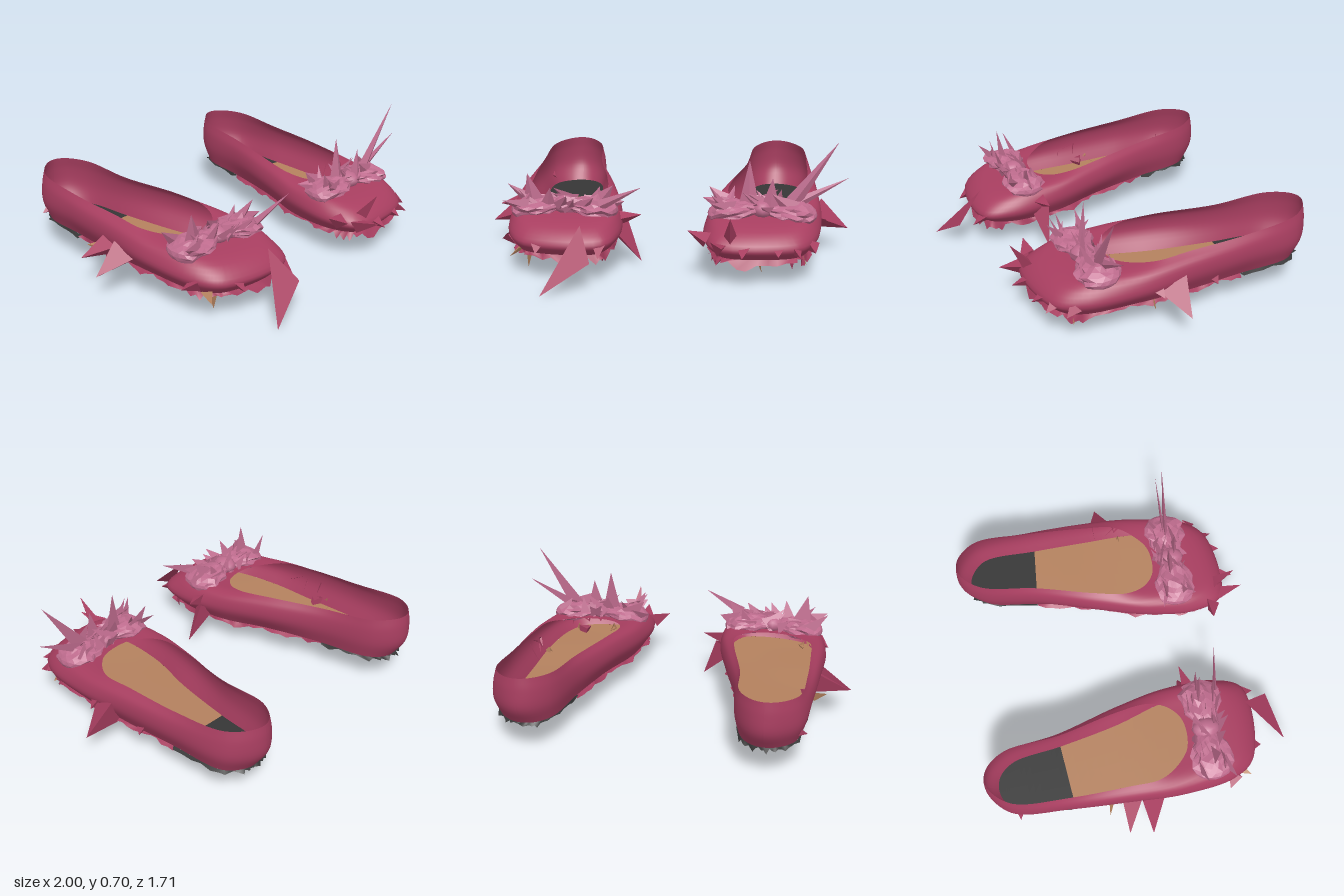
import * as THREE from 'three';
import { mergeGeometries } from 'three/addons/utils/BufferGeometryUtils.js';

const V = (a) => new THREE.Vector3(...a);
const loop = (pts) => new THREE.CatmullRomCurve3(pts.map(V), true, 'centripetal');

// Rings of one shoe: heel back, along the inner side, toe, back along the outer side
const soleRing = loop([[.62, .165, -.80], [.55, .165, -.78], [.485, .165, -.70], [.44, .16, -.43], [.37, .15, -.1], [.28, .14, .2], [.27, .14, .48], [.34, .14, .6],
  [.67, .14, .58], [.75, .14, .48], [.79, .15, .2], [.79, .15, -.1], [.78, .16, -.40], [.765, .165, -.70], [.69, .165, -.78]]);
const wideRing = loop([[.62, .26, -.857], [.545, .26, -.83], [.47, .26, -.73], [.41, .26, -.43], [.31, .25, -.1], [.235, .23, .2], [.22, .21, .48], [.29, .2, .64],
  [.69, .2, .62], [.79, .21, .5], [.84, .23, .2], [.835, .25, -.1], [.82, .26, -.43], [.79, .26, -.73], [.70, .26, -.83]]);
const shoulderRing = loop([[.62, .36, -.86], [.545, .36, -.833], [.47, .35, -.73], [.415, .34, -.43], [.32, .33, -.1], [.25, .3, .2], [.265, .29, .46], [.35, .28, .56],
  [.65, .28, .55], [.75, .29, .46], [.82, .3, .2], [.825, .33, -.1], [.815, .34, -.43], [.785, .35, -.73], [.70, .36, -.833]]);
const rimRing = loop([[.62, .435, -.85], [.555, .432, -.825], [.48, .42, -.72], [.44, .39, -.43], [.36, .37, -.1], [.335, .35, .08], [.37, .33, .19], [.45, .32, .255],
  [.60, .32, .255], [.69, .33, .19], [.76, .35, .08], [.775, .37, -.1], [.785, .39, -.43], [.77, .42, -.72], [.69, .432, -.825]]);
const HEEL = 3 / 15;

// Grid surface from a rule f(u, v)
function surface(f, nu, nv) {
  const pos = [], idx = [];
  for (let i = 0; i <= nu; i++) for (let j = 0; j <= nv; j++) {
    pos.push(...f(i / nu, j / nv).toArray());
    if (i < nu && j < nv) {
      const a = i * (nv + 1) + j, b = a + nv + 1;
      idx.push(a, b, a + 1, b, b + 1, a + 1);
    }
  }
  const g = new THREE.BufferGeometry();
  g.setAttribute('position', new THREE.Float32BufferAttribute(pos, 3));
  g.setIndex(idx);
  g.computeVertexNormals();
  return g;
}

// Three-sided shard from base to tip, thinned by flat
function shard(base, tip, width, flat) {
  const a = V(base), d = V(tip).sub(a), len = d.length();
  const g = new THREE.ConeGeometry(width / 2, len, 3, 1, true).toNonIndexed();
  g.scale(1, 1, flat);
  g.translate(0, len / 2, 0);
  g.applyQuaternion(new THREE.Quaternion().setFromUnitVectors(V([0, 1, 0]), d.normalize()));
  g.translate(...base);
  g.computeVertexNormals();
  return g;
}

function seeded(seed) {
  let s = seed;
  return () => (s = (s * 16807) % 2147483647) / 2147483647;
}

// Crumpled ribbon loop, pinched toward the knot
function ribbonLoop(cx, dir, rnd) {
  const g = new THREE.IcosahedronGeometry(1, 3), p = g.attributes.position, memo = {};
  for (let i = 0; i < p.count; i++) {
    const v = new THREE.Vector3().fromBufferAttribute(p, i);
    const key = v.toArray().map((n) => n.toFixed(3)).join();
    const k = memo[key] ??= 0.8 + rnd() * 0.4;
    const flare = 0.85 + 0.35 * v.x * dir;
    p.setXYZ(i, cx + v.x * 0.15, 0.325 + v.y * 0.06 * k * flare - v.x * dir * 0.015, 0.37 + v.z * 0.12 * k * flare);
  }
  g.computeVertexNormals();
  return g;
}

// Torn points: [base, tip, width]; x is written for the +x shoe and mirrored
const leftTears = [
  [[.82, .21, .01], [1, .13, 0], .2], [[.24, .22, .57], [.14, .27, .56], .1], [[.66, .17, .48], [.68, .04, .46], .1],
  [[.30, .2, .62], [.32, .24, .76], .1], [[.36, .24, .61], [.36, .38, .71], .08], [[.43, .2, .63], [.42, .18, .73], .09],
  [[.6, .2, .61], [.6, .18, .69], .09], [[.68, .2, .58], [.71, .17, .66], .09], [[.77, .2, .52], [.79, .17, .58], .09],
  [[.82, .22, .1], [.88, .2, .09], .08], [[.82, .2, -.22], [.85, .18, -.23], .06]];
const rightTears = [
  [[.82, .22, -.1], [.99, .19, -.13], .14], [[.82, .2, .01], [1, .13, 0], .18], [[.25, .2, .3], [.12, .01, .31], .14],
  [[.25, .25, .32], [.12, .27, .3], .1], [[.78, .18, -.14], [.79, .05, -.18], .1], [[.31, .2, .6], [.3, .15, .7], .1],
  [[.77, .2, .5], [.84, .17, .46], .1], [[.62, .2, .61], [.62, .16, .68], .09], [[.78, .22, -.7], [.82, .21, -.7], .05]];
// Scraps of sole that stick out under the hem
const leftScraps = [[[.76, .15, .1], [.84, .12, .12], .08], [[.5, .15, .55], [.52, .06, .57], .1], [[.7, .15, .5], [.75, .09, .53], .08]];
const rightScraps = [[[.8, .17, -.2], [.88, .2, -.22], .07], [[.68, .15, .52], [.69, .04, .53], .1],
  [[.72, .15, .52], [.77, .12, .6], .08], [[.77, .15, -.22], [.78, .1, -.24], .1]];
const leftBowPoints = [[[.66, .35, .37], [.9, .7, .38], .1], [[.68, .36, .36], [.96, .51, .36], .07], [[.45, .34, .36], [.45, .59, .34], .13],
  [[.32, .34, .4], [.26, .45, .42], .09], [[.56, .34, .4], [.57, .51, .4], .12]];
const rightBowPoints = [[[.32, .36, .46], [.1, .47, .49], .07], [[.68, .34, .38], [.71, .51, .4], .14], [[.34, .35, .36], [.26, .45, .38], .12],
  [[.6, .34, .42], [.58, .45, .46], .1]];

export function createModel() {
  const material = (name, color) => new THREE.MeshStandardMaterial({ name, color, side: THREE.DoubleSide });
  const berry = material('berry leather', 0xa83e60);
  const pink = material('pink ribbon', 0xbf6c8e);
  const tan = material('tan sole', 0xb4815e);
  const charcoal = material('charcoal heel', 0x363636);

  function makeShoe(name, side, tears, scraps, bowPoints, seed) {
    const shoe = new THREE.Group(), rnd = seeded(seed);
    shoe.name = name;
    const flip = ([x, y, z]) => [side * x, y, z];
    const add = (part, geometry, mat) => {
      const mesh = new THREE.Mesh(geometry, mat);
      mesh.name = part;
      shoe.add(mesh);
    };
    const shards = (list, flat) => mergeGeometries(list.map(([b, t, w]) => shard(flip(b), flip(t), w, flat)));
    const mirrored = (v) => v.setX(v.x * side);

    // Upper: sole edge, bulging side, shoulder and opening rim
    add('upper', surface((u, v) => {
      const t = u % 1;
      const profile = new THREE.CatmullRomCurve3([soleRing, wideRing, shoulderRing, rimRing].map((r) => r.getPoint(t)));
      return mirrored(profile.getPoint(v));
    }, 120, 14), berry);

    // Sole: rungs between matching points on the two sides, split at the heel
    const solePart = (t0, t1) => surface((u, v) => {
      const t = t0 + (t1 - t0) * u;
      return mirrored(soleRing.getPoint(t).lerp(soleRing.getPoint(1 - t), v));
    }, 24, 6);
    add('heelPad', solePart(0.0001, HEEL), charcoal);
    add('frontSole', solePart(HEEL, 0.5), tan);

    // Ragged hem: strip hanging from the sole edge with a jagged lower side
    const hem = (t0, t1, n, depth) => surface((u, v) => {
      const t = (t0 + (t1 - t0) * u + 1) % 1, p = soleRing.getPoint(t);
      if (v === 0) return mirrored(p);
      const out = wideRing.getPoint(t).sub(p).setY(0).multiplyScalar(rnd() * 0.6);
      const toe = p.z > 0.35 ? 2.2 : 1;
      return mirrored(p.add(out).add(V([0, -depth * toe * (0.1 + rnd() ** 2), 0])));
    }, n, 1);
    add('raggedHem', hem(HEEL, 1 - HEEL, 72, 0.026), berry);
    add('heelHem', hem(-HEEL, HEEL, 32, 0.022), charcoal);
    add('tornPoints', shards(tears, 0.9), berry);
    add('soleScraps', shards(scraps, 0.4), tan);

    // Bow: two crumpled loops, a knot and ruffled points
    add('bow', mergeGeometries([ribbonLoop(side * 0.385, -side, rnd), ribbonLoop(side * 0.655, side, rnd)]), pink);
    const knot = new THREE.IcosahedronGeometry(0.06, 1);
    knot.scale(1, 0.8, 1.3);
    knot.translate(side * 0.52, 0.34, 0.37);
    add('bowKnot', knot, pink);
    const ruffles = [...bowPoints];
    for (let i = 0; i < 26; i++) {
      const b = [0.3 + rnd() * 0.45, 0.34, 0.29 + rnd() * 0.16];
      const tip = [b[0] + (rnd() - 0.5) * 0.24, 0.36 + rnd() * 0.08, b[2] + (rnd() - 0.5) * 0.14];
      ruffles.push([b, tip, 0.06 + rnd() * 0.08]);
    }
    add('bowRuffles', shards(ruffles, 0.3), pink);
    return shoe;
  }

  const model = new THREE.Group();
  model.name = 'pairOfBowFlats';
  const right = makeShoe('rightShoe', -1, rightTears, rightScraps, rightBowPoints, 7741);
  // Large torn flap on the right toe
  const flap = new THREE.BufferGeometry();
  flap.setAttribute('position', new THREE.Float32BufferAttribute([-.57, 0, .85, -.33, .15, .77, -.40, .30, .62], 3));
  flap.computeVertexNormals();
  const flapMesh = new THREE.Mesh(flap, berry);
  flapMesh.name = 'toeFlap';
  right.add(flapMesh);
  model.add(makeShoe('leftShoe', 1, leftTears, leftScraps, leftBowPoints, 9137), right);
  return model;
}
